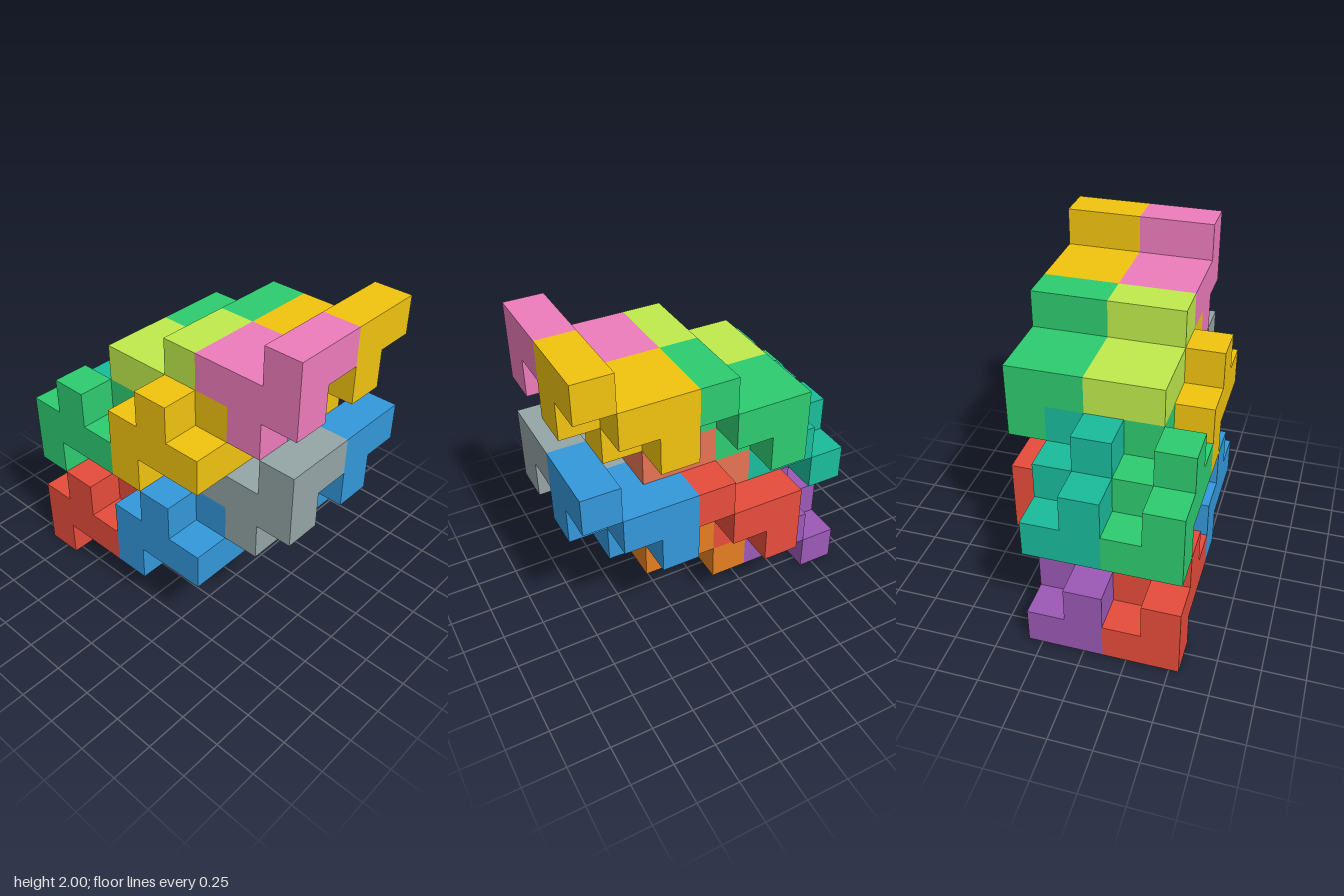
import * as THREE from 'three';
import { mergeGeometries } from 'three/addons/utils/BufferGeometryUtils.js';

const UNIT = 2 / 9;

// One interlocking block as [x, y, z] cells: an inner staircase and an outer one beside it
const BLOCK = [
  [0, 2, 2], [0, 1, 2], [0, 1, 1], [0, 0, 1], [0, 1, 0],
  [1, 2, 2], [1, 1, 1], [1, 1, 0], [1, 0, 0],
];

const DIRECTIONS = [
  [1, 0, 0], [-1, 0, 0], [0, 1, 0], [0, -1, 0], [0, 0, 1], [0, 0, -1],
];

// Skin a set of grid cells with squares wherever a cell has no neighbour
function cellGeometry(cells) {
  const filled = new Set(cells.map((c) => c.join()));
  const faces = [];
  const zAxis = new THREE.Vector3(0, 0, 1);
  for (const cell of cells) {
    for (const dir of DIRECTIONS) {
      if (filled.has(cell.map((v, n) => v + dir[n]).join())) continue;
      const normal = new THREE.Vector3(...dir);
      const turn = new THREE.Quaternion();
      if (dir[2] === -1) turn.setFromAxisAngle(new THREE.Vector3(0, 1, 0), Math.PI);
      else turn.setFromUnitVectors(zAxis, normal);
      const face = new THREE.PlaneGeometry(UNIT, UNIT);
      face.applyQuaternion(turn);
      face.translate(
        (cell[0] - 2 + dir[0] / 2) * UNIT,
        (cell[1] + 0.5 + dir[1] / 2) * UNIT,
        (cell[2] - 3.5 + dir[2] / 2) * UNIT,
      );
      faces.push(face);
    }
  }
  return mergeGeometries(faces);
}

// Colours per layer: each pair runs from -x to +x
const LAYERS = [
  {
    name: 'lowerLayer', lift: 0,
    front: [0x95a5a6, 0x3498db], middle: [0x34495e, 0xe74c3c],
    underMiddle: [0x3498db, 0xe67e22], underBack: [0xe74c3c, 0x9b59b6],
  },
  {
    name: 'upperLayer', lift: 3,
    front: [0xee7cbc, 0xf1c40f], middle: [0xbfeb4c, 0x2ecc71],
    underMiddle: [0xf1c40f, 0xe67354], underBack: [0x2ecc71, 0x1abc9c],
  },
];

// Rows of blocks; the under rows are the top rows turned half way round the x axis
const ROWS = [
  { name: 'front', y: 3, z: 5, turned: false },
  { name: 'middle', y: 2, z: 2, turned: false },
  { name: 'underMiddle', y: 2, z: 2, turned: true },
  { name: 'underBack', y: 3, z: 5, turned: true },
];

export function createModel() {
  const model = new THREE.Group();
  model.name = 'interlockingBlocks';
  for (const layer of LAYERS) {
    const group = new THREE.Group();
    group.name = layer.name;
    for (const row of ROWS) {
      layer[row.name].forEach((color, n) => {
        const cells = BLOCK.map(([x, y, z]) => {
          const j = y + row.y;
          const k = z + row.z;
          return row.turned
            ? [x + 2 * n, 5 - j + layer.lift, 7 - k]
            : [x + 2 * n + 1, j + layer.lift, k];
        });
        const block = new THREE.Mesh(
          cellGeometry(cells),
          new THREE.MeshStandardMaterial({ color }),
        );
        block.name = `${row.name}Block${n + 1}`;
        group.add(block);
      });
    }
    model.add(group);
  }
  return model;
}
